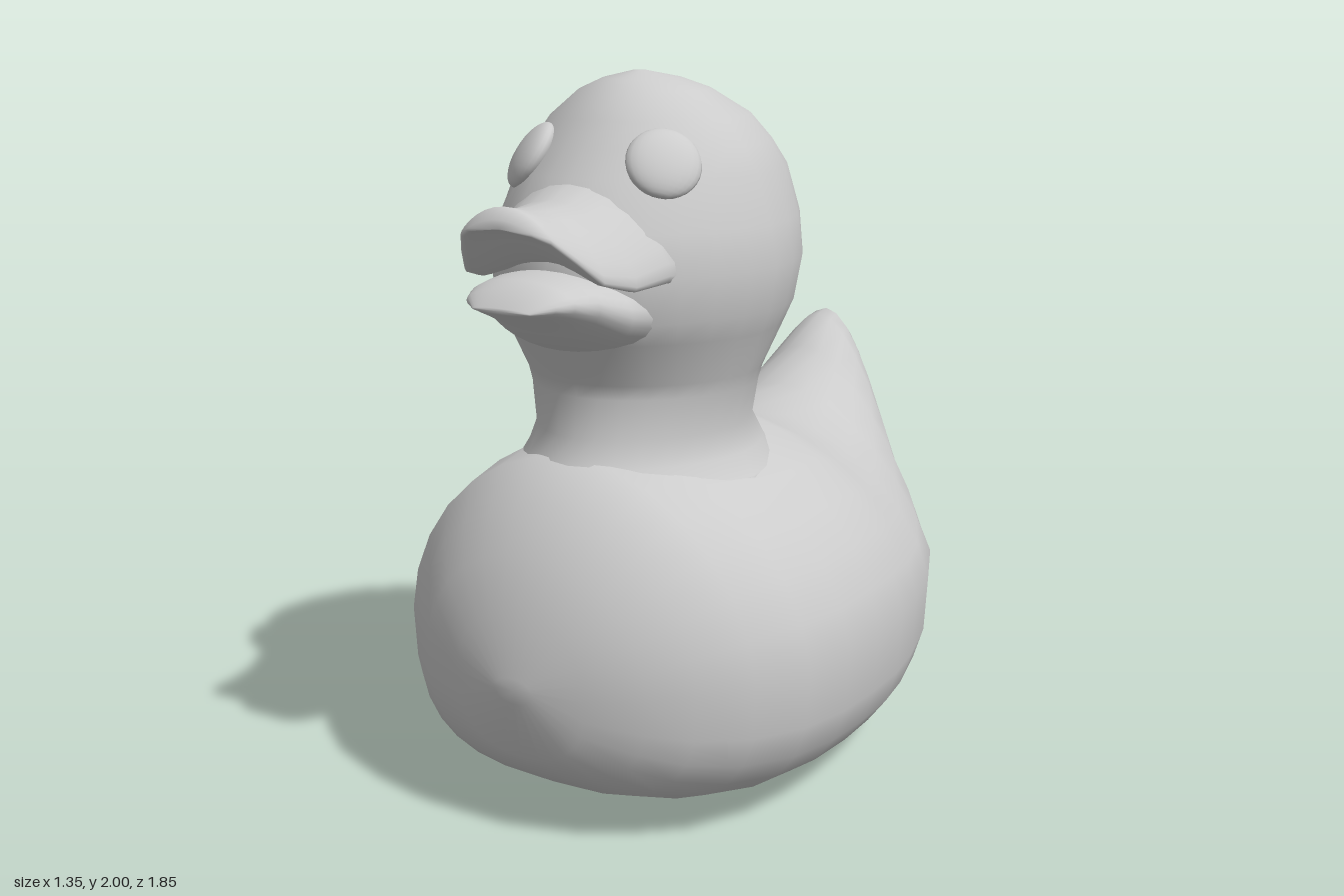
import * as THREE from 'three';

const material = new THREE.MeshStandardMaterial({ color: 0xcccccc });
const SEGMENTS = 28;

// One closed ring: point(cos, sin) gives [x, y, z] for each angle
function ring(point) {
  return Array.from({ length: SEGMENTS }, (_, i) => {
    const a = (i / SEGMENTS) * Math.PI * 2;
    return point(Math.cos(a), Math.sin(a));
  });
}

// Skin a list of rings (front to back, or bottom to top) into a closed, smooth-shaded surface
function loft(name, rings) {
  const positions = rings.flat(2);
  const index = [];
  for (let r = 0; r < rings.length - 1; r++) {
    for (let i = 0; i < SEGMENTS; i++) {
      const j = (i + 1) % SEGMENTS;
      const a = r * SEGMENTS + i, b = r * SEGMENTS + j;
      index.push(a, a + SEGMENTS, b, b, a + SEGMENTS, b + SEGMENTS);
    }
  }
  // Close both ends with a fan around the ring centre
  [0, rings.length - 1].forEach((r, end) => {
    const centre = positions.length / 3;
    for (let k = 0; k < 3; k++) {
      positions.push(rings[r].reduce((s, p) => s + p[k], 0) / SEGMENTS);
    }
    for (let i = 0; i < SEGMENTS; i++) {
      const a = r * SEGMENTS + i, b = r * SEGMENTS + ((i + 1) % SEGMENTS);
      if (end) index.push(centre, b, a);
      else index.push(centre, a, b);
    }
  });
  const geometry = new THREE.BufferGeometry();
  geometry.setAttribute('position', new THREE.Float32BufferAttribute(positions, 3));
  geometry.setIndex(index);
  geometry.computeVertexNormals();
  const mesh = new THREE.Mesh(geometry, material);
  mesh.name = name;
  return mesh;
}

const power = (v, n) => Math.sign(v) * Math.pow(Math.abs(v), 2 / n);

// Body and upturned tail: z, bottom, widest height, top, half width, pinch of the upper half
function body() {
  const rows = [
    [0.92, 0.40, 0.44, 0.47, 0.06, 0],
    [0.89, 0.24, 0.44, 0.64, 0.21, 0],
    [0.83, 0.17, 0.45, 0.78, 0.36, 0],
    [0.75, 0.11, 0.46, 0.90, 0.46, 0.03],
    [0.64, 0.07, 0.47, 1.00, 0.57, 0.06],
    [0.47, 0.03, 0.47, 1.02, 0.64, 0.08],
    [0.30, 0.01, 0.47, 1.02, 0.67, 0.08],
    [0.13, 0.00, 0.47, 1.02, 0.675, 0.08],
    [-0.03, 0.00, 0.47, 1.02, 0.67, 0.08],
    [-0.18, 0.00, 0.47, 0.96, 0.645, 0.1],
    [-0.35, 0.02, 0.48, 0.93, 0.605, 0.17],
    [-0.53, 0.055, 0.50, 0.97, 0.53, 0.33],
    [-0.67, 0.09, 0.52, 1.07, 0.435, 0.42],
    [-0.77, 0.26, 0.56, 1.16, 0.33, 0.42],
    [-0.82, 0.35, 0.60, 1.17, 0.27, 0.38],
    [-0.87, 0.44, 0.64, 1.13, 0.20, 0.25],
    [-0.91, 0.52, 0.70, 1.04, 0.12, 0.1],
    [-0.928, 0.65, 0.80, 0.95, 0.05, 0],
  ];
  return loft('body', rows.map(([z, bottom, mid, top, w, pinch]) => ring((c, s) => {
    if (s >= 0) return [w * c * (1 - pinch * s), mid + (top - mid) * s, z];
    const n = 2 + Math.min(1, w * 2);
    return [w * power(c, n), mid + (mid - bottom) * power(s, n), z];
  })));
}

// Neck and head: height, front z, back z, half width; narrower towards the bill
function head() {
  const rows = [
    [0.86, 0.76, -0.14, 0.41],
    [0.92, 0.705, -0.125, 0.36],
    [0.98, 0.66, -0.09, 0.325],
    [1.05, 0.625, -0.04, 0.30],
    [1.16, 0.61, -0.03, 0.325],
    [1.20, 0.62, -0.05, 0.335],
    [1.32, 0.69, -0.15, 0.38],
    [1.38, 0.73, -0.185, 0.405],
    [1.50, 0.74, -0.215, 0.425],
    [1.61, 0.71, -0.23, 0.405],
    [1.74, 0.62, -0.20, 0.365],
    [1.81, 0.56, -0.15, 0.325],
    [1.88, 0.515, -0.08, 0.27],
    [1.95, 0.45, 0.07, 0.18],
    [1.98, 0.39, 0.17, 0.11],
    [2.00, 0.32, 0.28, 0.02],
  ];
  const middle = 0.29;
  return loft('head', rows.map(([y, front, back, w]) => ring((c, s) => [
    w * c * (1 - 0.12 * Math.max(s, 0)),
    y,
    middle + s * (s > 0 ? front - middle : middle - back),
  ])).map((points) => points.reverse()).reverse());
}

// Half of the bill: z, top, bottom, half width, droop of the sides
function bill(name, rows) {
  return loft(name, rows.map(([z, top, bottom, w, droop]) => ring((c, s) =>
    [w * c, (top + bottom) / 2 + s * (top - bottom) / 2 - droop * c * c, z])));
}

// Flattened ball facing outward, forward and up
function eye(side) {
  const mesh = new THREE.Mesh(new THREE.SphereGeometry(0.1, 24, 16), material);
  mesh.name = side > 0 ? 'leftEye' : 'rightEye';
  mesh.scale.z = 0.4;
  mesh.position.set(side * 0.21, 1.78, 0.505);
  mesh.quaternion.setFromUnitVectors(
    new THREE.Vector3(0, 0, 1), new THREE.Vector3(side, 0.95, 1).normalize());
  return mesh;
}

export function createModel() {
  const group = new THREE.Group();
  group.name = 'toyDuck';
  group.add(body(), head());
  group.add(bill('upperBill', [
    [0.925, 1.67, 1.645, 0.10, 0.02],
    [0.90, 1.70, 1.64, 0.14, 0.05],
    [0.85, 1.69, 1.61, 0.18, 0.08],
    [0.79, 1.687, 1.56, 0.22, 0.11],
    [0.70, 1.695, 1.53, 0.255, 0.12],
    [0.60, 1.74, 1.52, 0.29, 0.12],
    [0.45, 1.80, 1.50, 0.33, 0.14],
  ]));
  group.add(bill('lowerBill', [
    [0.925, 1.45, 1.435, 0.09, 0],
    [0.885, 1.49, 1.415, 0.14, 0],
    [0.84, 1.51, 1.395, 0.165, 0],
    [0.77, 1.52, 1.36, 0.19, 0],
    [0.68, 1.515, 1.30, 0.23, 0],
    [0.50, 1.50, 1.26, 0.28, 0],
  ]));
  group.add(eye(1), eye(-1));
  return group;
}
